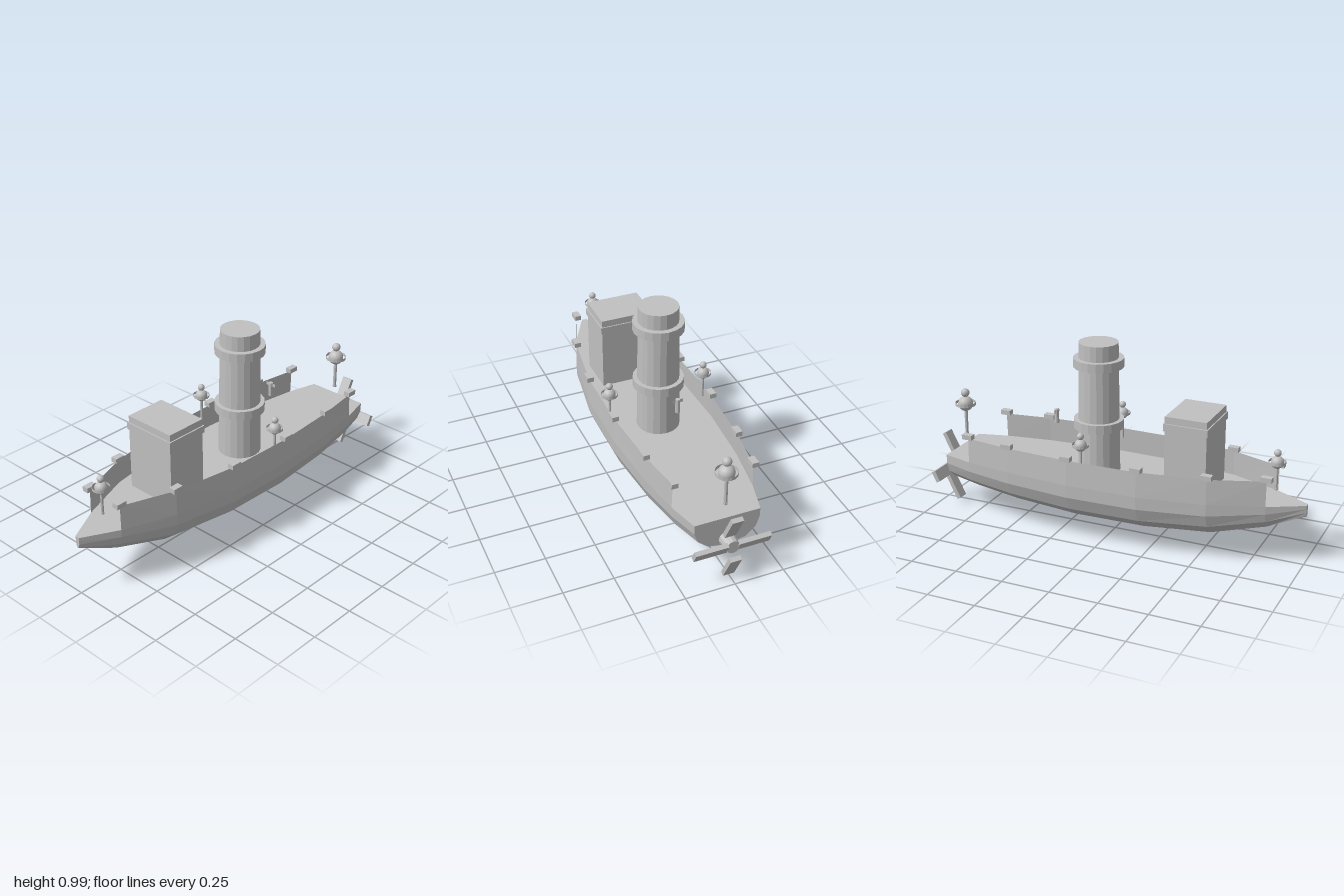
import * as THREE from 'three';

const DECK = 0.317, RAIL = 0.447;
// Hull stations: x, half width at deck, keel height
const STATIONS = [
  [-1, 0.012, 0.257], [-0.825, 0.105, 0.182], [-0.56, 0.203, 0.117], [-0.22, 0.258, 0.095],
  [0.15, 0.267, 0.093], [0.49, 0.244, 0.112], [0.735, 0.207, 0.137], [0.895, 0.166, 0.157],
];
// Half section: fraction of half width, fraction of depth
const SECTION = [[1, 0], [0.99, 0.3], [0.88, 0.62], [0.57, 0.9], [0, 1]];

function surface(points, faces) {
  const g = new THREE.BufferGeometry();
  g.setAttribute('position', new THREE.Float32BufferAttribute(points.flat(), 3));
  g.setIndex(faces.flat());
  const flat = g.toNonIndexed();
  flat.computeVertexNormals();
  return flat;
}

function hullGeometry() {
  const ring = [...SECTION, ...SECTION.slice(0, -1).reverse().map(([w, d]) => [-w, d])];
  const n = ring.length, last = STATIONS.length - 1;
  const points = [], faces = [];
  for (const [x, half, keel] of STATIONS)
    for (const [w, d] of ring) points.push([x, DECK - d * (DECK - keel), w * half]);
  for (let i = 0; i < last; i++) {
    const a = i * n, b = a + n;
    for (let j = 0; j < n - 1; j++)
      faces.push([a + j, a + j + 1, b + j], [a + j + 1, b + j + 1, b + j]);
    faces.push([a, b, a + n - 1], [b, b + n - 1, a + n - 1]); // deck
  }
  for (let j = 1; j < n - 1; j++) {
    faces.push([0, j + 1, j]); // bow cap
    faces.push([last * n, last * n + j, last * n + j + 1]); // transom
  }
  return surface(points, faces);
}

function bulwarkGeometry(side) {
  const points = [], faces = [];
  STATIONS.slice(1, -1).forEach(([x, half], i) => {
    points.push([x, DECK, side * half], [x, RAIL, side * half * 0.978]);
    const k = 2 * i;
    if (i > 0) faces.push(side > 0
      ? [k - 2, k, k - 1, k, k + 1, k - 1]
      : [k - 2, k - 1, k, k, k - 1, k + 1]);
  });
  return surface(points, faces);
}

export function createModel() {
  const grey = new THREE.MeshStandardMaterial({ color: 0xc0c0c0, flatShading: true, side: THREE.DoubleSide });
  grey.name = 'light grey';
  const smoothGrey = grey.clone();
  smoothGrey.name = 'light grey smooth';
  smoothGrey.flatShading = false;

  const boat = new THREE.Group();
  boat.name = 'steamboat';
  const add = (name, geometry, x = 0, y = 0, z = 0, parent = boat, material = grey) => {
    const mesh = new THREE.Mesh(geometry, material);
    mesh.name = name;
    mesh.position.set(x, y, z);
    parent.add(mesh);
    return mesh;
  };
  const box = (w, h, d) => new THREE.BoxGeometry(w, h, d);
  const tube = (top, bottom, h, sides = 20, open = false) =>
    new THREE.CylinderGeometry(top, bottom, h, sides, 1, open);

  // Hull, side walls and rail blocks
  add('hull', hullGeometry());
  for (const side of [1, -1]) {
    add(side > 0 ? 'leftBulwark' : 'rightBulwark', bulwarkGeometry(side));
    for (const [x, half] of STATIONS.slice(1, -1))
      add('railBlock', box(0.055, 0.025, 0.034), x, 0.458, side * half * 0.978);
  }

  // Cabin with a band below the roof
  add('cabin', box(0.214, 0.39, 0.276), -0.426, 0.512, 0);
  add('cabinBand', box(0.226, 0.037, 0.29), -0.426, 0.6535, 0);

  // Funnel with two collars
  add('funnel', tube(0.099, 0.108, 0.673), 0.09, 0.6525, 0);
  for (const y of [0.571, 0.888]) add('funnelCollar', tube(0.127, 0.127, 0.046), 0.09, y, 0);

  // Lamps: post, globe, open hoop and finial
  const lamp = (name, x, y, z, s) => {
    const group = new THREE.Group();
    group.name = name;
    group.position.set(x, y, z);
    group.scale.setScalar(s);
    boat.add(group);
    add('lampGlobe', new THREE.SphereGeometry(0.04, 16, 12), 0, 0, 0, group, smoothGrey);
    add('lampHoop', tube(0.054, 0.054, 0.016, 16, true), 0, 0, 0, group);
    add('lampFinial', new THREE.SphereGeometry(0.023, 14, 10), 0, 0.06, 0, group, smoothGrey);
    add('lampPost', tube(0.009, 0.009, 0.14, 10), 0, -0.108, 0, group);
    add('lampFoot', tube(0.0105, 0.0105, 0.01, 10), 0, -0.175, 0, group);
  };
  lamp('bowLamp', -0.842, 0.51, 0, 0.79);
  lamp('sternLamp', 0.866, 0.553, 0, 1);
  lamp('leftLamp', 0.072, 0.537, 0.251, 0.77);
  lamp('rightLamp', 0.072, 0.537, -0.251, 0.77);

  // Whistle above the deck
  add('whistle', tube(0.012, 0.012, 0.073, 10), 0.327, 0.566, 0);
  add('whistleBar', new THREE.PlaneGeometry(0.056, 0.018), 0.327, 0.592, 0).rotation.y = Math.PI / 2;

  // Propeller: hub and four pitched blades
  const propeller = new THREE.Group();
  propeller.name = 'propeller';
  propeller.position.set(0.955, 0.19, 0);
  boat.add(propeller);
  add('hub', tube(0.034, 0.042, 0.08, 12), -0.03, 0.004, 0, propeller).rotation.z = -Math.PI / 2;
  const pitch = -0.47;
  for (const s of [1, -1]) {
    add('verticalBlade', box(0.023, 0.157, 0.057), 0, s * 0.115, 0, propeller).rotation.z = pitch;
    add('sideBlade', box(0.023, 0.06, 0.165), -0.002, 0, s * 0.1085, propeller).rotation.z = pitch;
  }
  return boat;
}
